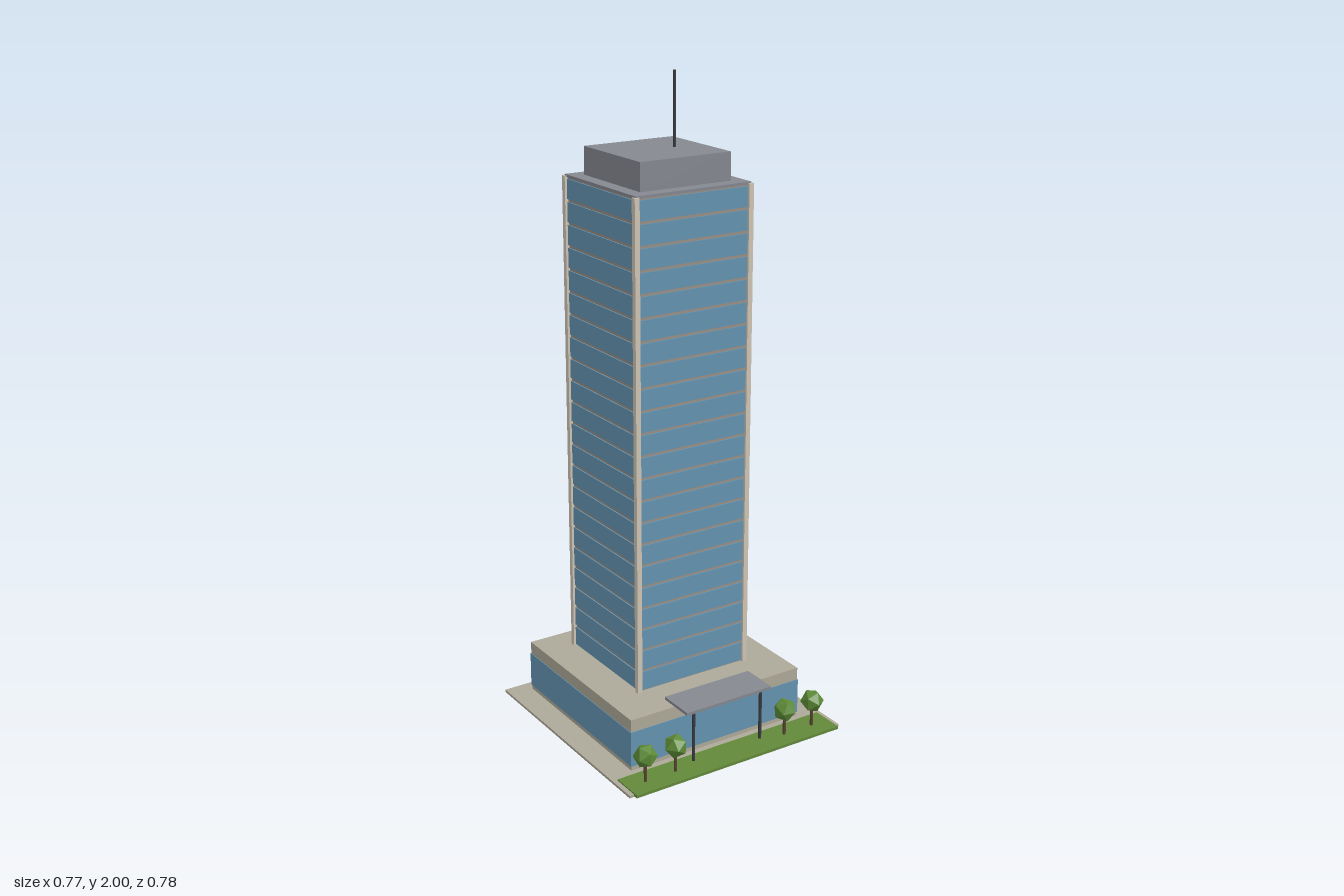
import * as THREE from 'three';

const mat = (name, color, flatShading = false) => {
  const m = new THREE.MeshStandardMaterial({ color, flatShading });
  m.name = name;
  return m;
};

export function createModel() {
  const model = new THREE.Group();
  model.name = 'officeTower';

  const stone = mat('stone', 0xaea999);
  const paleStone = mat('paleStone', 0xcfc6b6);
  const spandrelMat = mat('spandrel', 0x9a8f84);
  const glass = mat('glass', 0x6494b2);
  const roofGrey = mat('roofGrey', 0x858890);
  const darkMetal = mat('darkMetal', 0x3a3c40);
  const grass = mat('grass', 0x62893a);
  const leaf = mat('leaf', 0x5c8a36, true);
  const bark = mat('bark', 0x5a4632);

  // Box given by its limits on each axis
  const box = (name, m, x0, x1, y0, y1, z0, z1, parent = model) => {
    const mesh = new THREE.Mesh(new THREE.BoxGeometry(x1 - x0, y1 - y0, z1 - z0), m);
    mesh.position.set((x0 + x1) / 2, (y0 + y1) / 2, (z0 + z1) / 2);
    mesh.name = name;
    parent.add(mesh);
    return mesh;
  };
  // Upright round post
  const post = (name, m, x, z, y0, y1, r, parent = model) => {
    const mesh = new THREE.Mesh(new THREE.CylinderGeometry(r, r, y1 - y0, 8), m);
    mesh.position.set(x, (y0 + y1) / 2, z);
    mesh.name = name;
    parent.add(mesh);
  };

  // Site
  box('paving', stone, -0.383, 0.383, 0, 0.008, -0.392, 0.375);
  box('lawn', grass, -0.368, 0.368, 0.003, 0.012, 0.283, 0.39);

  // Podium with a glazed band all round
  box('podium', stone, -0.305, 0.305, 0.008, 0.175, -0.352, 0.258);
  box('podiumGlass', glass, -0.307, 0.307, 0.022, 0.135, -0.354, 0.26);

  // Tower: core, one glass band per floor, corner columns
  const tower = new THREE.Group();
  tower.name = 'tower';
  tower.position.z = -0.07;
  model.add(tower);
  const base = 0.175, top = 1.688, floors = 22, pitch = (top - base) / floors;
  box('spandrelCore', spandrelMat, -0.19, 0.19, base, top, -0.19, 0.19, tower);
  for (let i = 0; i < floors; i++) {
    const y = base + i * pitch;
    box('floorGlass', glass, -0.194, 0.194, y + 0.004, y + pitch - 0.005, -0.194, 0.194, tower);
  }
  for (const sx of [-1, 1]) {
    for (const sz of [-1, 1]) {
      const column = box('cornerColumn', paleStone, -0.008, 0.008, base, 1.692, -0.008, 0.008, tower);
      column.position.x = sx * 0.193;
      column.position.z = sz * 0.193;
    }
  }

  // Roof, plant room and mast
  box('roofSlab', roofGrey, -0.195, 0.195, top, 1.696, -0.195, 0.195, tower);
  box('plantRoom', roofGrey, -0.153, 0.153, 1.696, 1.78, -0.154, 0.153, tower);
  post('mast', darkMetal, 0.06, 0, 1.78, 2, 0.0045, tower);

  // Entrance canopy
  box('canopy', roofGrey, -0.153, 0.153, 0.176, 0.185, 0.206, 0.327);
  for (const x of [-0.122, 0.122]) post('canopyPost', darkMetal, x, 0.315, 0.008, 0.176, 0.005);

  // Trees
  [-0.305, -0.2, 0.2, 0.305].forEach((x, i) => {
    const tree = new THREE.Group();
    tree.name = 'tree';
    tree.position.set(x, 0, 0.336);
    post('trunk', bark, 0, 0, 0.01, 0.075, 0.005, tree);
    const crown = new THREE.Mesh(new THREE.IcosahedronGeometry(0.037, 0), leaf);
    crown.name = 'crown';
    crown.position.y = 0.096;
    crown.rotation.y = i * 0.7;
    tree.add(crown);
    model.add(tree);
  });

  return model;
}
